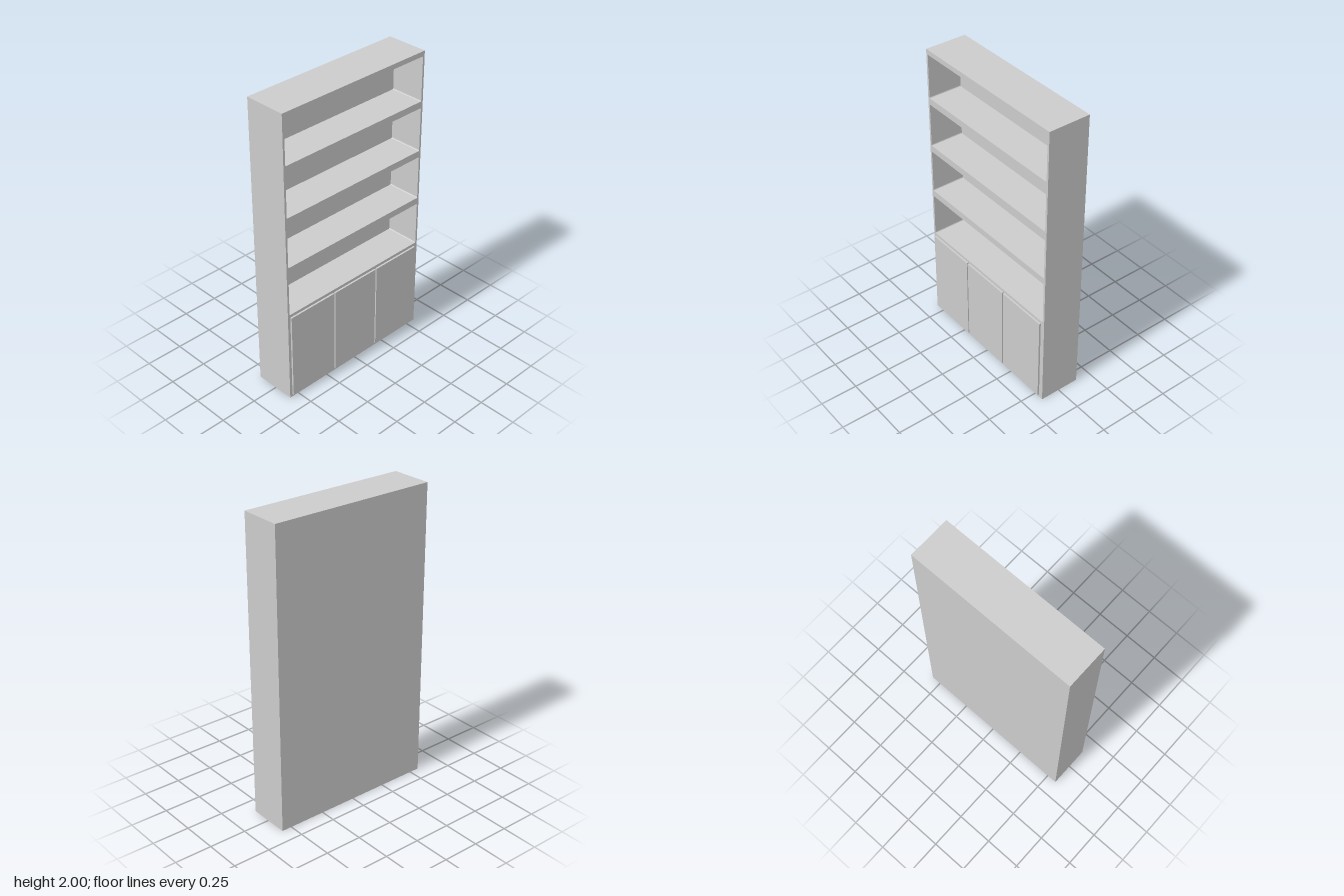
import * as THREE from 'three';

const W = 0.568, H = 2, BACK = -0.147, FRONT = 0.135;
const NICHE_Y = [0.64, 0.983, 1.326, 1.669]; // bottoms of the open niches
const DOOR_X = [-0.371, -0.006, 0.359];      // door centres
const material = new THREE.MeshStandardMaterial({ color: 0xcccccc });

// Rectangle with slightly rounded corners, used for the niche openings
function roundedHole(x0, y0, x1, y1, r) {
  const p = new THREE.Path();
  p.moveTo(x0 + r, y0);
  p.lineTo(x1 - r, y0);
  p.quadraticCurveTo(x1, y0, x1, y0 + r);
  p.lineTo(x1, y1 - r);
  p.quadraticCurveTo(x1, y1, x1 - r, y1);
  p.lineTo(x0 + r, y1);
  p.quadraticCurveTo(x0, y1, x0, y1 - r);
  p.lineTo(x0, y0 + r);
  p.quadraticCurveTo(x0, y0, x0 + r, y0);
  return p;
}

// Full-height slice of the cabinet between two depths
function slice(name, z0, z1, { niches = false, cupboards = false }) {
  const s = new THREE.Shape();
  s.moveTo(-W, 0);
  if (cupboards) {
    // three compartments, open at the bottom, between walls and dividers
    const walls = [-0.554, -0.187, 0.176, 0.554], t = 0.006;
    for (let i = 0; i < 3; i++) {
      const a = walls[i] + (i > 0 ? t : 0), b = walls[i + 1] - (i < 2 ? t : 0);
      s.lineTo(a, 0);
      s.lineTo(a, 0.62);
      s.lineTo(b, 0.62);
      s.lineTo(b, 0);
    }
  }
  s.lineTo(W, 0);
  s.lineTo(W, H);
  s.lineTo(-W, H);
  s.closePath();
  if (niches) {
    for (const y of NICHE_Y) s.holes.push(roundedHole(-0.554, y, 0.554, y + 0.298, 0.008));
  }
  const g = new THREE.ExtrudeGeometry(s, { depth: z1 - z0, bevelEnabled: false, curveSegments: 3 });
  const m = new THREE.Mesh(g, material);
  m.position.z = z0;
  m.name = name;
  return m;
}

export function createModel() {
  const group = new THREE.Group();
  group.name = 'bookcase';

  // Carcass: back sheet, solid backing behind the niches, shelves, front frame
  group.add(
    slice('backPanel', BACK, BACK + 0.006, {}),
    slice('nicheBacking', BACK + 0.006, -0.097, { cupboards: true }),
    slice('shelvesAndDividers', -0.097, FRONT - 0.008, { niches: true, cupboards: true }),
    slice('frontFrame', FRONT - 0.008, FRONT, { niches: true })
  );

  // Three flat cupboard doors
  DOOR_X.forEach((x, i) => {
    const door = new THREE.Mesh(new THREE.BoxGeometry(0.356, 0.6, 0.012), material);
    door.position.set(x, 0.32, FRONT + 0.006);
    door.name = `door${i + 1}`;
    group.add(door);
  });
  return group;
}
